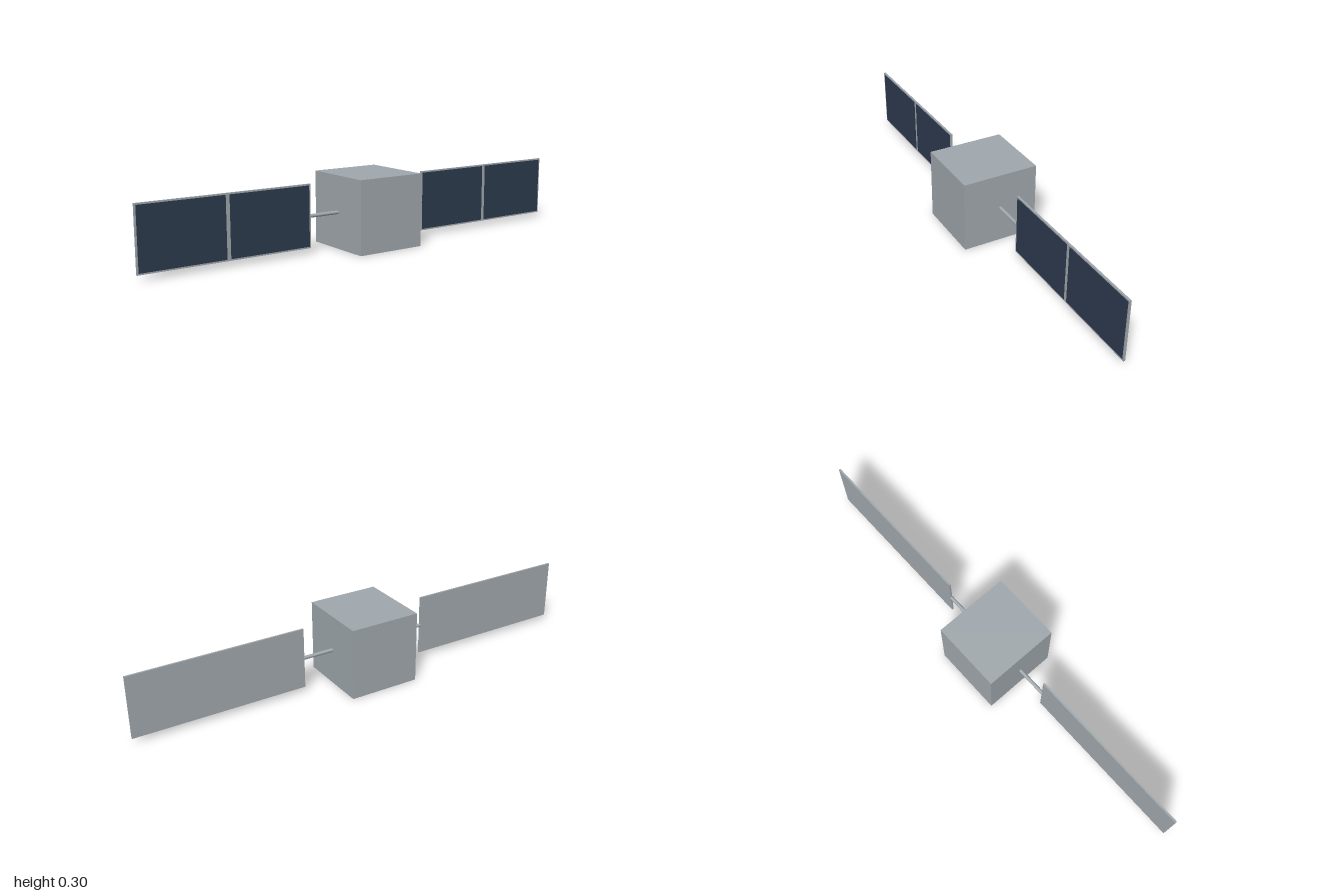
import * as THREE from 'three';

export function createModel() {
  const model = new THREE.Group();
  model.name = 'satellite';

  const grey = new THREE.MeshStandardMaterial({ color: 0xa0a8ad });
  grey.name = 'metal grey';
  const navy = new THREE.MeshStandardMaterial({ color: 0x2d3b4f });
  navy.name = 'solar navy';

  const add = (parent, name, geometry, material, x, y, z) => {
    const mesh = new THREE.Mesh(geometry, material);
    mesh.name = name;
    mesh.position.set(x, y, z);
    parent.add(mesh);
    return mesh;
  };

  const midY = 0.15;

  // Central bus
  add(model, 'body', new THREE.BoxGeometry(0.3, 0.3, 0.32), grey, 0, midY, 0);

  // Mirrored solar wings
  const boomGeometry = new THREE.CylinderGeometry(0.0075, 0.0075, 0.14, 16);
  const panelGeometry = new THREE.BoxGeometry(0.72, 0.257, 0.008);
  const cellGeometry = new THREE.BoxGeometry(0.346, 0.245, 0.001);

  for (const side of [1, -1]) {
    const wing = new THREE.Group();
    wing.name = side > 0 ? 'leftWing' : 'rightWing';
    model.add(wing);

    // Boom from the body to the panel's inner edge
    add(wing, 'boom', boomGeometry, grey, side * 0.212, midY, 0).rotation.z = Math.PI / 2;

    // Backing panel with two cell sheets on its front
    add(wing, 'panel', panelGeometry, grey, side * 0.64, midY, 0);
    for (const x of [0.459, 0.821]) {
      add(wing, 'solarCells', cellGeometry, navy, side * x, midY, 0.0043);
    }
  }

  return model;
}
